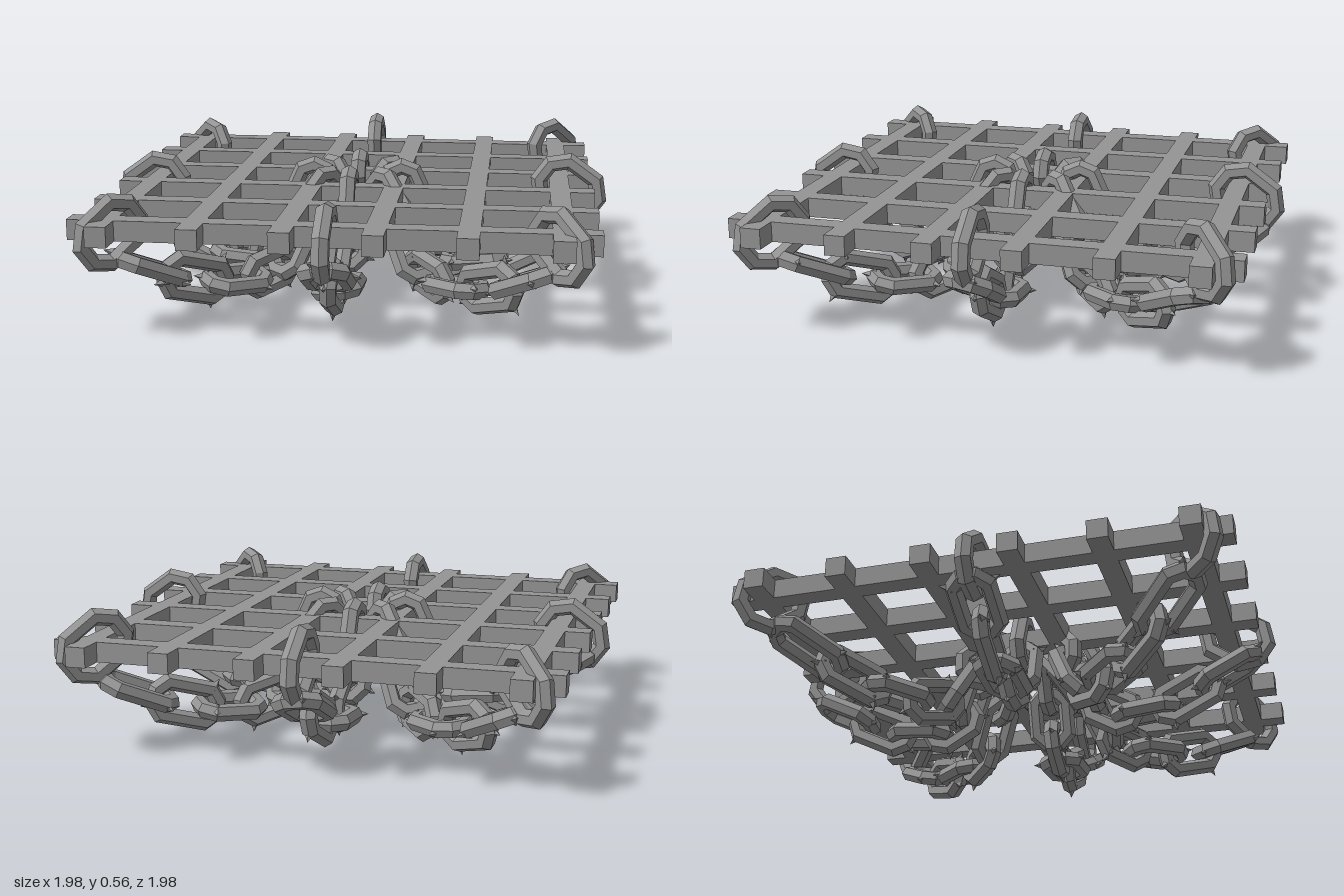
import * as THREE from 'three';

const RING = 0.07;      // link half width, centreline
const END_RING = 0.098; // wider link that clasps the grate's rim
const WIRE = 0.034;     // link thickness radius
const material = new THREE.MeshStandardMaterial({ color: 0x949494, flatShading: true });

// small seeded generator, for the scatter of spikes
let seed = 7;
const random = () => (seed = (seed * 16807) % 2147483647) / 2147483647;

function add(parent, name, geometry) {
  const mesh = new THREE.Mesh(geometry, material);
  mesh.name = name;
  parent.add(mesh);
  return mesh;
}

// Eight-sided ring pulled apart along x
function linkGeometry(ring, stretch) {
  const g = new THREE.TorusGeometry(ring, WIRE, 6, 8);
  g.rotateZ(Math.PI / 8);
  const p = g.attributes.position;
  for (let i = 0; i < p.count; i++) p.setX(i, p.getX(i) + Math.sign(p.getX(i)) * stretch);
  g.computeVertexNormals();
  return g;
}

// One link between two joints [distance from the middle, height]
function makeLink([ax, ay], [bx, by], ring, roll, spikes) {
  const link = new THREE.Group();
  link.name = 'chainLink';
  const stretch = Math.hypot(bx - ax, by - ay) / 2 + WIRE * 0.9 - ring * 0.92;
  add(link, 'ring', linkGeometry(ring, stretch));

  // short spikes on the rim
  const first = Math.floor(random() * 4);
  for (let i = 0; i < spikes; i++) {
    const angle = ((first + i * 3) % 8 + 0.5) * Math.PI / 4;
    const r = ring + WIRE * 0.75;
    const spike = add(link, 'spike', new THREE.ConeGeometry(0.025, 0.055, 4));
    spike.position.set(
      Math.cos(angle) * r + Math.sign(Math.cos(angle)) * stretch,
      Math.sin(angle) * r,
      (random() - 0.5) * 0.03);
    spike.rotation.z = angle - Math.PI / 2;
  }
  // the ring lies in the hanging plane of the chain, then rolls about its length
  link.position.set((ax + bx) / 2, (ay + by) / 2, 0);
  link.rotation.z = Math.atan2(by - ay, bx - ax);
  link.rotateX(roll);
  return link;
}

// Chain hanging in the xy plane: a clasp round the rim, then links to the middle
function makeChain(claspRadius, claspHeight, joints) {
  const chain = new THREE.Group();
  chain.name = 'chain';
  const clasp = makeLink(
    [claspRadius - 0.07, claspHeight + 0.05],
    [claspRadius + 0.07, claspHeight - 0.05], END_RING, 0, 0);
  clasp.name = 'clasp';
  chain.add(clasp);
  for (let i = 0; i < joints.length - 1; i++) {
    const last = i === joints.length - 2;
    const roll = i % 2 ? 0 : Math.PI / 2;
    const jitter = last ? 0 : (random() - 0.5) * 0.4;
    chain.add(makeLink(joints[i], joints[i + 1], RING, roll + jitter, last ? 0 : 3));
  }
  return chain;
}

export function createModel() {
  seed = 7;
  const model = new THREE.Group();
  model.name = 'hangingGrate';

  // Crossed bars
  const grate = new THREE.Group();
  grate.name = 'grate';
  for (let i = 0; i < 6; i++) {
    const offset = (i - 2.5) * 0.321;
    add(grate, 'crossBar', new THREE.BoxGeometry(1.87, 0.075, 0.077)).position.set(0, 0.405, offset);
    add(grate, 'longBar', new THREE.BoxGeometry(0.077, 0.075, 1.87)).position.set(offset, 0.405, 0);
  }
  grate.position.set(-0.005, 0, 0.004);
  model.add(grate);

  // Joints as [distance from the middle, height]
  const straight = [[0.88, 0.29], [0.72, 0.21], [0.55, 0.125], [0.39, 0.11],
    [0.27, 0.18], [0.225, 0.32], [0.165, 0.45]];
  const diagonal = [[1.06, 0.27], [0.87, 0.185], [0.68, 0.125], [0.51, 0.11],
    [0.37, 0.14], [0.28, 0.29], [0.14, 0.43]];

  // Eight chains around the middle; three clasps sit a little higher
  for (let i = 0; i < 8; i++) {
    const claspHeight = i < 3 ? 0.415 : 0.385;
    const chain = i % 2
      ? makeChain(1.12, claspHeight, diagonal)
      : makeChain(0.84, claspHeight, straight);
    chain.rotation.y = i * Math.PI / 4;
    chain.position.set(i % 4 === 2 ? -0.02 : -0.005, 0, i % 4 === 0 ? 0.015 : 0);
    model.add(chain);
  }
  return model;
}
